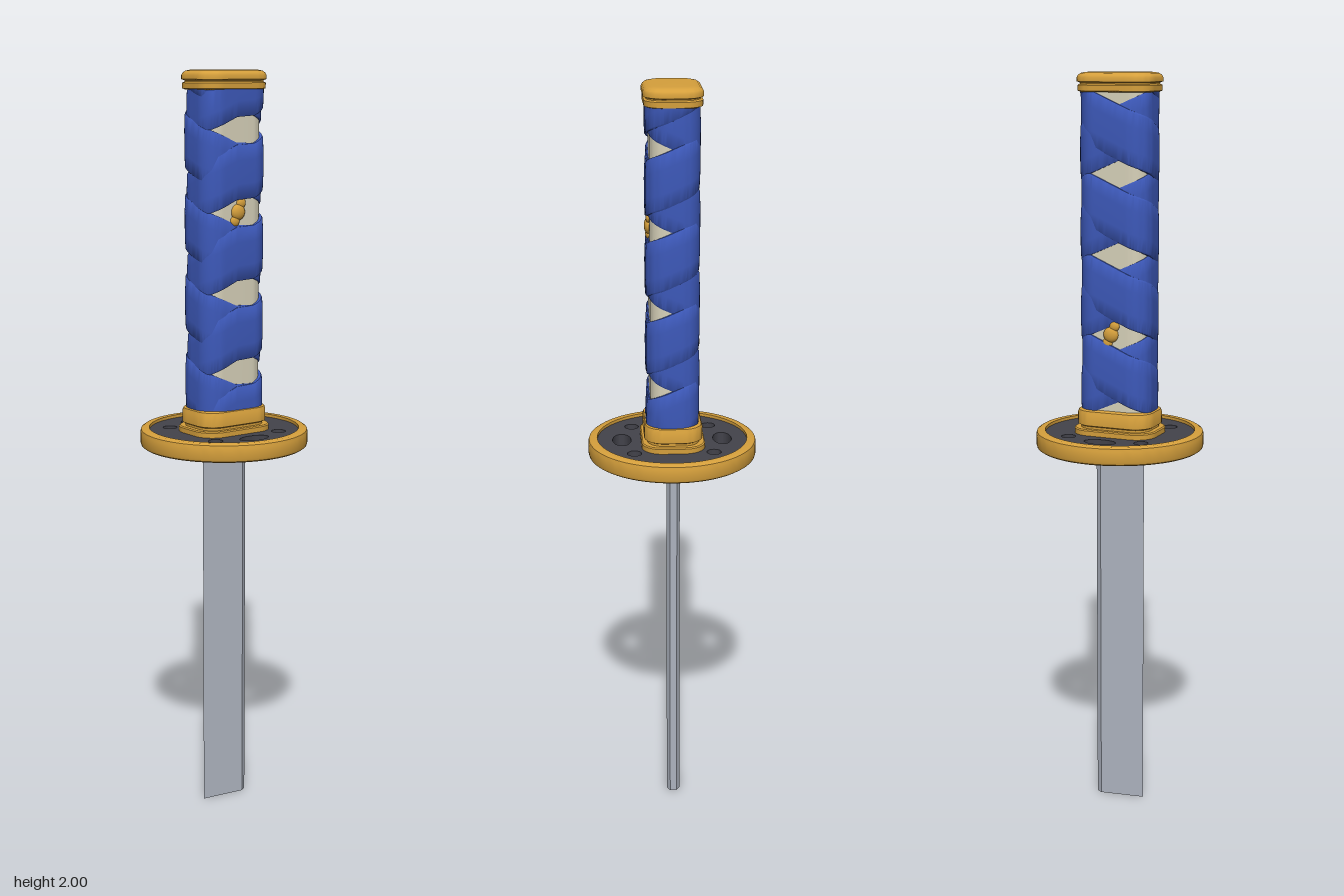
import * as THREE from 'three';
import { toCreasedNormals } from 'three/addons/utils/BufferGeometryUtils.js';

const mat = (name, color) => Object.assign(new THREE.MeshStandardMaterial({ color }), { name });

// Rounded rectangle seen from above, starting at the front centre and running towards +x
function roundedPath(hw, hd, r) {
  const s = new THREE.Shape();
  const h = Math.PI / 2;
  s.moveTo(0, hd);
  s.absarc(hw - r, hd - r, r, h, 0, true);
  s.absarc(hw - r, r - hd, r, 0, -h, true);
  s.absarc(r - hw, r - hd, r, -h, -2 * h, true);
  s.absarc(r - hw, hd - r, r, 2 * h, h, true);
  s.lineTo(0, hd);
  return s;
}

// Points round a path, each with its outward normal
function samplePath(path, n) {
  return Array.from({ length: n }, (_, i) => {
    const p = path.getPoint(i / n), t = path.getTangent(i / n);
    return { x: p.x, z: p.y, nx: -t.y, nz: t.x };
  });
}

// Surface from a grid of points: i runs round, j runs up
function grid(nu, nv, point) {
  const pos = [], idx = [];
  for (let i = 0; i <= nu; i++) for (let j = 0; j <= nv; j++) pos.push(...point(i, j));
  for (let i = 0; i < nu; i++) for (let j = 0; j < nv; j++) {
    const a = i * (nv + 1) + j, b = a + nv + 1;
    idx.push(a, b, b + 1, a, b + 1, a + 1);
  }
  const g = new THREE.BufferGeometry();
  g.setAttribute('position', new THREE.Float32BufferAttribute(pos, 3));
  g.setIndex(idx);
  return toCreasedNormals(g, 0.6);
}

// Closed solid from layers of [height, outward offset] over a rounded rectangle
function loft(hw, hd, r, layers) {
  const n = 72, ring = samplePath(roundedPath(hw, hd, r), n);
  const first = layers[0], last = layers[layers.length - 1];
  const all = [[first[0], 0, 0], ...layers, [last[0], 0, 0]];
  return grid(n, all.length - 1, (i, j) => {
    const p = ring[i % n], [y, o, k = 1] = all[j];
    return [(p.x + p.nx * o) * k, y, (p.z + p.nz * o) * k];
  });
}

export function createModel() {
  const model = new THREE.Group();
  const gold = mat('gold', 0xd6a03c);
  const blue = mat('blue cloth', 0x3d59ba);
  const dark = mat('dark iron', 0x43434b);
  const steel = mat('steel', 0xadb3bf);
  const cream = mat('cream', 0xd8d2ba);
  const add = (name, geometry, material, parent = model) => {
    const m = new THREE.Mesh(geometry, material);
    m.name = name;
    parent.add(m);
    return m;
  };

  // Blade: cutting edge on -x, bevelled spine on +x
  const section = new THREE.Shape([
    [-0.07, 0], [0.05, -0.018], [0.065, -0.009], [0.065, 0.009], [0.05, 0.018],
  ].map(([x, y]) => new THREE.Vector2(x, y)));
  const blade = new THREE.ExtrudeGeometry(section, { depth: 1.03, bevelEnabled: false });
  add('blade', blade.rotateX(-Math.PI / 2), steel);

  // Guard plate with pierced holes
  const plate = new THREE.Shape().absarc(0, 0, 0.205, 0, Math.PI * 2);
  const pierce = (x, y, rx, ry) =>
    plate.holes.push(new THREE.Path().absellipse(x, y, rx, ry, 0, Math.PI * 2, true));
  for (const s of [-1, 1]) {
    pierce(0, s * 0.135, 0.044, 0.025);
    for (const t of [-1, 1]) pierce(t * 0.104, s * 0.105, 0.019, 0.019);
  }
  const plateGeo = new THREE.ExtrudeGeometry(plate, { depth: 0.034, bevelEnabled: false, curveSegments: 32 });
  add('guardPlate', toCreasedNormals(plateGeo.rotateX(-Math.PI / 2).translate(0, 1.021, 0), 0.6), dark);

  // Guard rim
  const rim = [
    [0.201, 1.013], [0.217, 1.013], [0.223, 1.017], [0.225, 1.024],
    [0.225, 1.052], [0.223, 1.059], [0.217, 1.063], [0.201, 1.063], [0.201, 1.013],
  ].map(([x, y]) => new THREE.Vector2(x, y));
  add('guardRim', toCreasedNormals(new THREE.LatheGeometry(rim, 80), 0.6), gold);

  // Spacers either side of the guard, then the collar
  add('lowerSpacer', loft(0.115, 0.084, 0.055, [[1.003, -0.003], [1.006, 0], [1.025, 0]]), gold);
  add('upperSpacer', loft(0.115, 0.084, 0.055, [[1.05, 0], [1.068, 0], [1.071, -0.003]]), gold);
  add('collar', loft(0.107, 0.077, 0.052, [
    [1.068, -0.008], [1.077, -0.008], [1.081, 0], [1.112, 0], [1.119, -0.003], [1.122, -0.01],
  ]), gold);

  // Grip core
  const coreSize = [0.09, 0.06, 0.042];
  add('gripCore', loft(...coreSize, [[1.1, 0], [1.96, 0]]), cream);

  // Two opposed helical ribbons, leaving diamonds at front and back
  const steps = 72, turns = 6, pitch = 0.21;
  const ring = samplePath(roundedPath(...coreSize), steps);
  const strip = [
    [-0.07, -0.008], [-0.07, 0], [-0.066, 0.0025], [-0.03, 0.004],
    [0.03, 0.004], [0.066, 0.0025], [0.07, 0], [0.07, -0.008],
  ];
  for (const dir of [1, -1]) {
    const start = dir > 0 ? 0.905 : 2.165;
    const ribbon = grid(steps * turns, strip.length - 1, (i, j) => {
      const p = ring[i % steps], [v, o] = strip[j];
      const y = THREE.MathUtils.clamp(start + dir * pitch * i / steps + v, 1.1, 1.956);
      const lift = o + 0.0045 + dir * 0.003 * Math.cos(i / steps * Math.PI * 2 - 0.5);
      return [p.x + p.nx * lift, y, p.z + p.nz * lift];
    });
    add(dir > 0 ? 'risingWrap' : 'fallingWrap', ribbon, blue);
  }

  // Small ornaments in one front and one back diamond
  for (const [side, y] of [[1, 1.64], [-1, 1.328]]) {
    const ornament = new THREE.Group();
    ornament.name = side > 0 ? 'frontOrnament' : 'backOrnament';
    for (const [k, r] of [[-1, 0.014], [0, 0.021], [1, 0.014]]) {
      const bead = add('ornamentBead', new THREE.SphereGeometry(r, 20, 14), gold, ornament);
      bead.position.set(k * 0.01, k * 0.023, 0);
      bead.scale.z = 0.55;
    }
    ornament.position.set(0, y, side * 0.061);
    if (side < 0) ornament.rotation.y = Math.PI;
    model.add(ornament);
  }

  // Pommel cap with a groove and softly domed top
  add('pommelCap', loft(0.106, 0.076, 0.052, [
    [1.95, -0.01], [1.953, -0.002], [1.967, -0.002], [1.97, -0.008], [1.973, -0.008], [1.976, 0],
    [1.986, 0], [1.992, -0.003], [1.997, -0.01], [1.9995, -0.022], [2, -0.034],
  ]), gold);

  return model;
}
